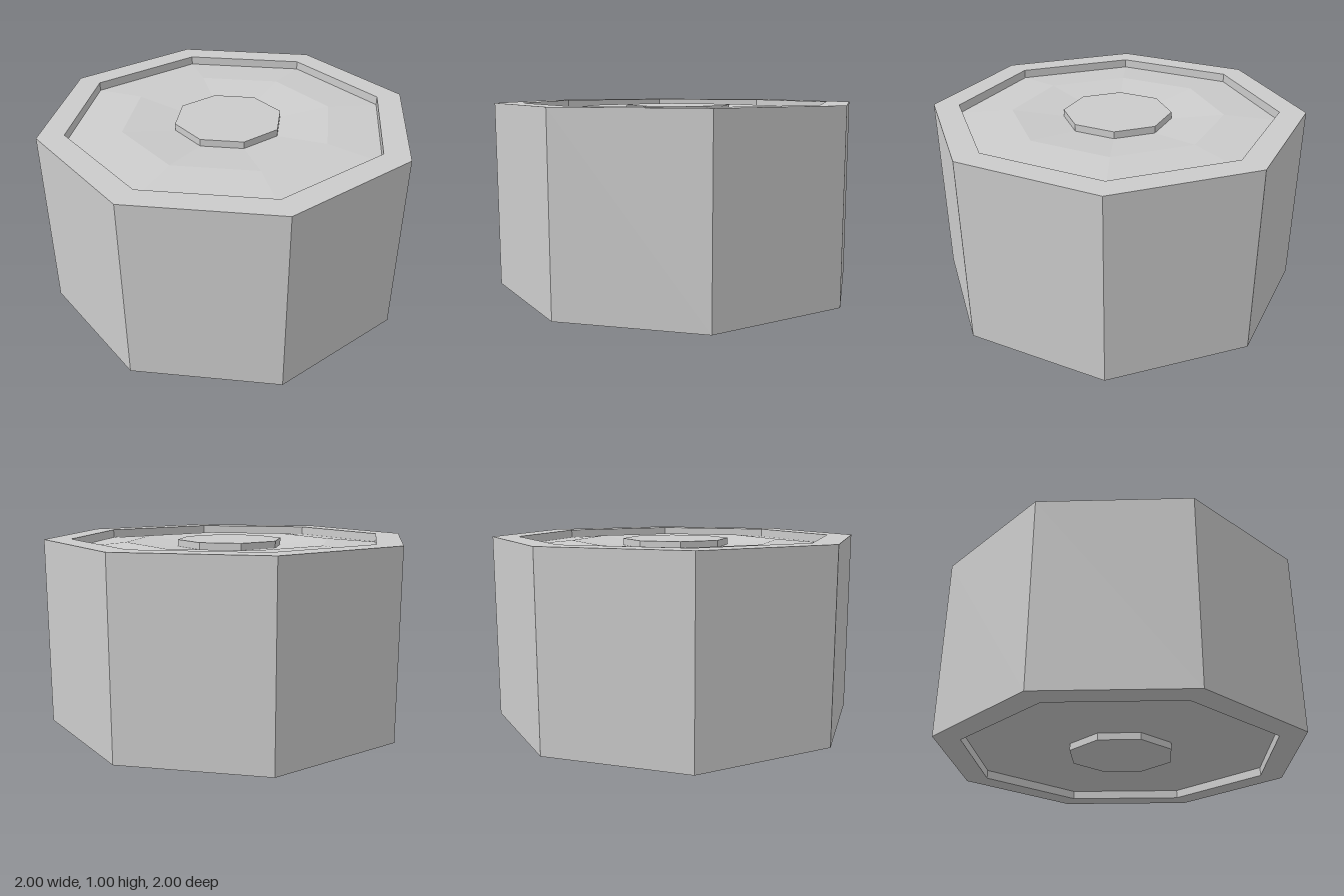
import * as THREE from 'three';

const SIDES = 8;
const material = new THREE.MeshStandardMaterial({ color: 0xcccccc, flatShading: true });

// Turn an eight-sided surface; points run outside to centre on top, centre to outside below.
function turned(name, points) {
  const profile = points.map(([r, y]) => new THREE.Vector2(r, y));
  const mesh = new THREE.Mesh(new THREE.LatheGeometry(profile, SIDES), material);
  mesh.name = name;
  return mesh;
}

// The underside is the top profile reflected about mid-height.
const reflected = (points) => points.map(([r, y]) => [r, 1 - y]).reverse();

export function createModel() {
  const group = new THREE.Group();
  group.name = 'octagonalDrum';

  const rim = [[1, 1], [0.86, 1], [0.86, 0.953]];
  const dish = [[0.86, 0.953], [0.57, 0.978], [0.29, 0.95]]; // low ridge halfway in
  const hub = [[0.29, 0.95], [0.29, 0.987], [0, 0.987]];

  // Outer wall with the raised rims at both ends
  group.add(turned('outerWall', [...reflected(rim), ...rim]));

  // Recessed end faces and central hubs
  group.add(turned('topFace', dish), turned('topHub', hub));
  group.add(turned('bottomFace', reflected(dish)), turned('bottomHub', reflected(hub)));

  return group;
}
